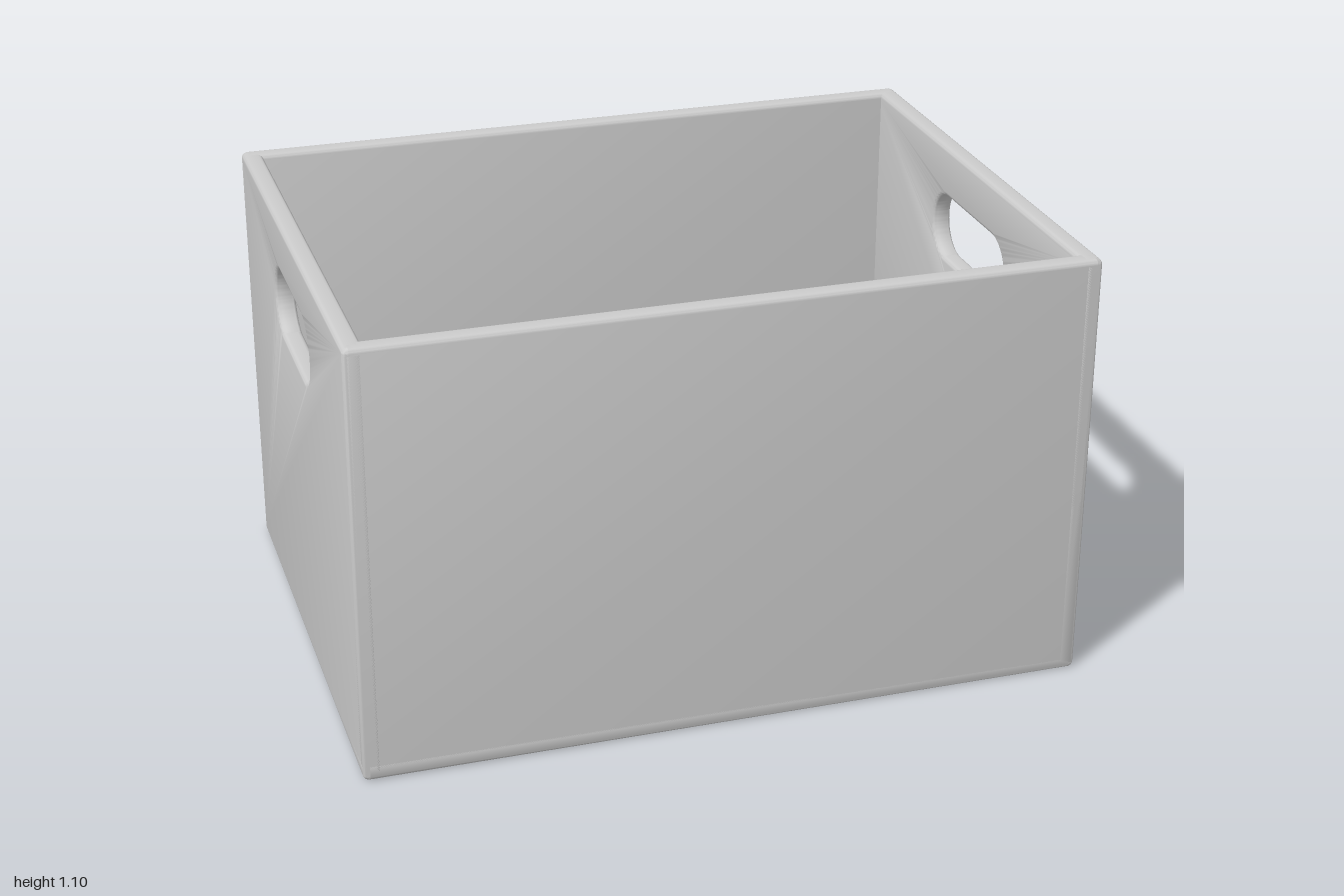
import * as THREE from 'three';
import { toCreasedNormals } from 'three/addons/utils/BufferGeometryUtils.js';

const WIDTH = 1.81, DEPTH = 1.345, HEIGHT = 1.1;
const WALL = 0.05, EDGE = 0.012;
const GRIP = { length: 0.45, height: 0.17, y: 0.885 };

// Rounded rectangle centred on (x, y)
function roundedRect(PathType, w, h, r, x = 0, y = 0) {
  const p = new PathType();
  const a = w / 2 - r, b = h / 2 - r, q = Math.PI / 2;
  p.absarc(x + a, y + b, r, 0, q);
  p.absarc(x - a, y + b, r, q, 2 * q);
  p.absarc(x - a, y - b, r, 2 * q, 3 * q);
  p.absarc(x + a, y - b, r, 3 * q, 4 * q);
  p.closePath();
  return p;
}

// Flat panel with softened edges, centred on the origin, thickness along z
function panel(name, w, h, material, hole) {
  const shape = roundedRect(THREE.Shape, w, h, EDGE * 1.3);
  if (hole) shape.holes.push(hole);
  const geometry = new THREE.ExtrudeGeometry(shape, {
    depth: WALL - 2 * EDGE,
    bevelThickness: EDGE,
    bevelSize: EDGE,
    bevelOffset: -EDGE,
    bevelSegments: 4,
    curveSegments: 16,
  });
  geometry.translate(0, 0, EDGE - WALL / 2);
  const mesh = new THREE.Mesh(toCreasedNormals(geometry, 0.7), material);
  mesh.name = name;
  return mesh;
}

export function createModel() {
  const material = new THREE.MeshStandardMaterial({ color: 0xcccccc });
  const box = new THREE.Group();
  box.name = 'storageBox';

  // Floor
  const floor = panel('floor', WIDTH, DEPTH, material);
  floor.rotation.x = -Math.PI / 2;
  floor.position.y = WALL / 2;
  box.add(floor);

  for (const s of [1, -1]) {
    // Plain long walls
    const wall = panel(s > 0 ? 'frontWall' : 'backWall', WIDTH, HEIGHT, material);
    wall.position.set(0, HEIGHT / 2, s * (DEPTH - WALL) / 2);
    box.add(wall);

    // End walls with a slotted hand grip
    const grip = roundedRect(THREE.Path, GRIP.length, GRIP.height, GRIP.height / 2 - 0.001, 0, GRIP.y - HEIGHT / 2);
    const end = panel(s > 0 ? 'leftHandleWall' : 'rightHandleWall', DEPTH, HEIGHT, material, grip);
    end.rotation.y = s * Math.PI / 2;
    end.position.set(s * (WIDTH - WALL) / 2, HEIGHT / 2, 0);
    box.add(end);
  }

  // The box stands slightly turned
  box.rotation.y = 0.163;
  const model = new THREE.Group();
  model.name = 'model';
  model.add(box);
  return model;
}
